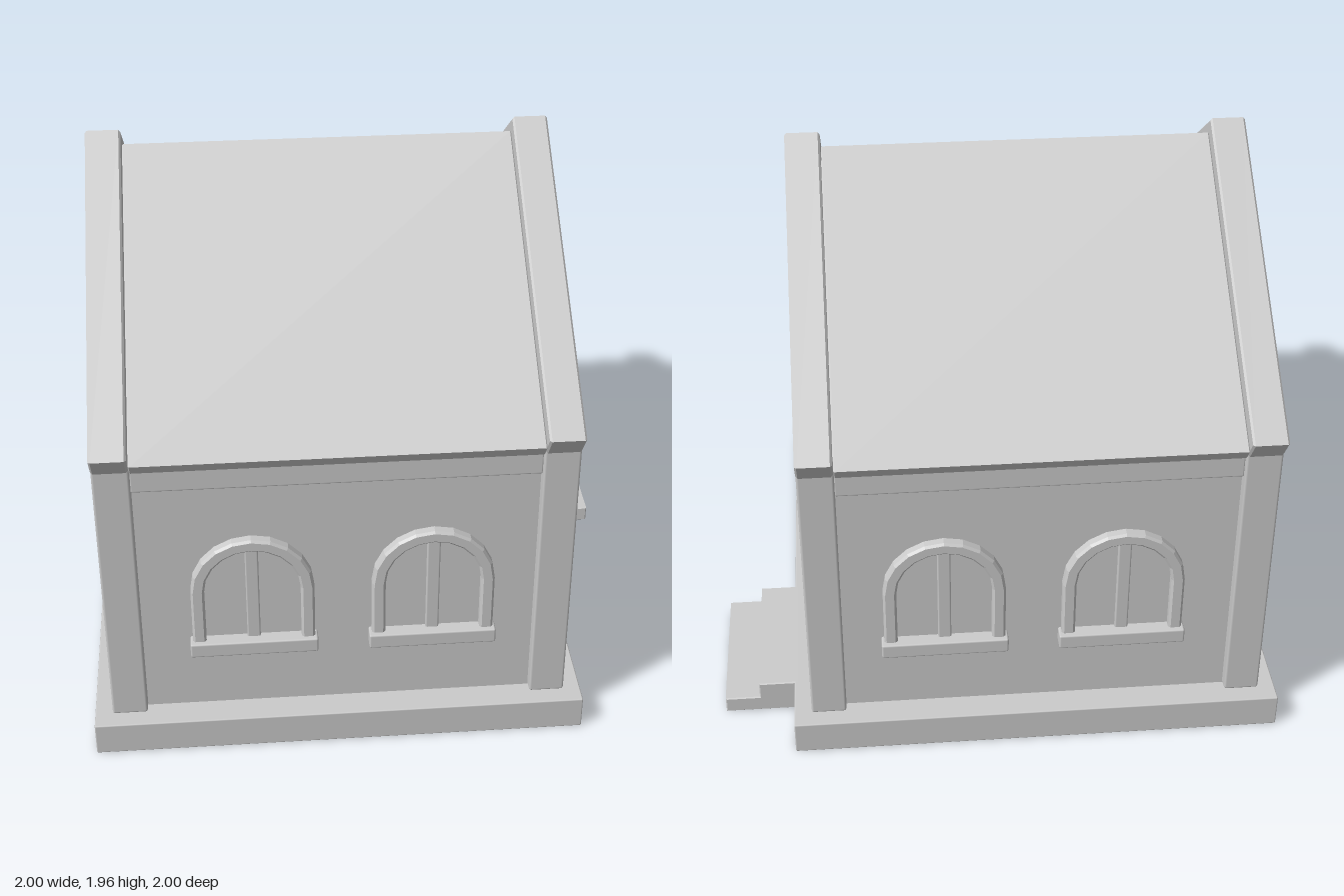
import * as THREE from 'three';
import { RoundedBoxGeometry } from 'three/addons/geometries/RoundedBoxGeometry.js';

const CX = -0.1275;                 // middle of the house along x
const WALL_X = 0.77, WALL_Z = 0.9;  // wall half sizes
const BASE = 0.125;                 // top of the plinth

export function createModel() {
  const model = new THREE.Group();
  model.name = 'cottage';
  const material = new THREE.MeshStandardMaterial({ color: 0xcccccc });

  const add = (parent, name, geometry) => {
    const mesh = new THREE.Mesh(geometry, material);
    mesh.name = name;
    parent.add(mesh);
    return mesh;
  };

  // Softly bevelled box given by its extents
  const box = (parent, name, x0, x1, y0, y1, z0, z1, bevel = 0.007) => {
    const g = new RoundedBoxGeometry(x1 - x0, y1 - y0, z1 - z0, 1, bevel);
    g.translate((x0 + x1) / 2, (y0 + y1) / 2, (z0 + z1) / 2);
    return add(parent, name, g);
  };

  // Extrusion from z0 to z1, bevelled inside its outline
  const extrude = (points, z0, z1, bevel = 0) => {
    const shape = new THREE.Shape(points.map(([x, y]) => new THREE.Vector2(x, y)));
    const g = new THREE.ExtrudeGeometry(shape, {
      depth: z1 - z0 - 2 * bevel, bevelEnabled: bevel > 0,
      bevelSize: bevel, bevelOffset: -bevel, bevelThickness: bevel, bevelSegments: 1,
    });
    return g.translate(0, 0, z0 + bevel);
  };

  // Symmetric cross-section in z and y, swept along x
  const sweepX = (points, x0, x1, bevel) => extrude(points, x0, x1, bevel).rotateY(Math.PI / 2);

  // Outline of an arch from its right foot over the top to its left foot
  const archLine = (radius, springY, footY, segments = 10) => {
    const line = [[radius, footY]];
    for (let i = 0; i <= segments; i++) {
      const a = (i / segments) * Math.PI;
      line.push([radius * Math.cos(a), springY + radius * Math.sin(a)]);
    }
    line.push([-radius, footY]);
    return line;
  };
  const archFrame = (outer, inner, springY, footY, depth, bevel) => extrude(
    [...archLine(outer, springY, footY), ...archLine(inner, springY, footY).reverse()],
    -0.02, depth, bevel);

  // Group standing on one of the four walls and facing outwards
  const onWall = (name, side, along) => {
    const group = new THREE.Group();
    group.name = name;
    const placing = {
      front: [along, WALL_Z, 0],
      back: [along, -WALL_Z, Math.PI],
      right: [CX + WALL_X, along, Math.PI / 2],
      left: [CX - WALL_X, along, -Math.PI / 2],
    }[side];
    group.position.set(placing[0], 0, placing[1]);
    group.rotation.y = placing[2];
    model.add(group);
    return group;
  };

  // Plinth and door steps
  box(model, 'plinth', -1, 0.745, 0, BASE, -1, 1, 0.005);
  add(model, 'doorSteps', extrude(
    [[0.735, 0], [1, 0], [1, 0.062], [0.875, 0.062], [0.875, BASE], [0.735, BASE]],
    -0.775, -0.23, 0.004));

  // Walls with gables
  add(model, 'walls', sweepX(
    [[-WALL_Z, 0.1], [WALL_Z, 0.1], [WALL_Z, 1.2], [0, 1.85], [-WALL_Z, 1.2]],
    CX - WALL_X, CX + WALL_X));

  // Corner posts and horizontal beams
  for (const s of [-1, 1]) {
    const px = CX + s * 0.7475, pz = s * 0.8775;
    for (const t of [-1, 1]) {
      box(model, 'cornerPost', px - 0.0625, px + 0.0625, BASE, 1.2,
        t * 0.8775 - 0.0625, t * 0.8775 + 0.0625, 0.009);
    }
    box(model, 'eaveBeam', -0.815, 0.56, 1.07, 1.185, pz - 0.045, pz + 0.045);
    const bx = CX + s * 0.745;
    box(model, 'gableBeam', bx - 0.045, bx + 0.045, 1.07, 1.19, -0.815, 0.815);
  }

  // Roof slopes between two raised gable rafters
  const chevron = (top, tipZ, tipY, lowZ, lowY) => [
    [0, 1.84], [lowZ, lowY], [tipZ, tipY], [0, top], [-tipZ, tipY], [-lowZ, lowY]];
  add(model, 'roofSlopes', sweepX(
    chevron(1.905, 0.975, 1.21, 0.945, 1.165), -0.813, 0.558, 0.004));
  for (const [x0, x1] of [[-0.938, -0.815], [0.56, 0.683]]) {
    add(model, 'gableRafters', sweepX(
      chevron(1.96, 1, 1.25, 0.94, 1.165), x0, x1, 0.007));
  }

  // Arched windows with mullion and sill
  const windows = [
    ['front', -0.425], ['front', 0.2], ['back', -0.425], ['back', 0.2],
    ['right', 0.38], ['left', 0.38], ['left', -0.38]];
  for (const [side, along] of windows) {
    const w = onWall(side + 'Window', side, along);
    add(w, 'frame', archFrame(0.213, 0.166, 0.645, 0.41, 0.035, 0.008));
    add(w, 'pane', extrude(archLine(0.18, 0.645, 0.42), -0.02, 0.003));
    box(w, 'mullion', -0.023, 0.023, 0.42, 0.82, -0.02, 0.018, 0.006);
    box(w, 'sill', -0.223, 0.223, 0.375, 0.432, -0.02, 0.052);
  }

  // Arched door
  const door = onWall('door', 'right', -0.5);
  add(door, 'frame', archFrame(0.25, 0.19, 0.627, BASE, 0.038, 0.008));
  add(door, 'panel', extrude(archLine(0.2, 0.627, BASE), -0.02, 0.003));

  return model;
}
